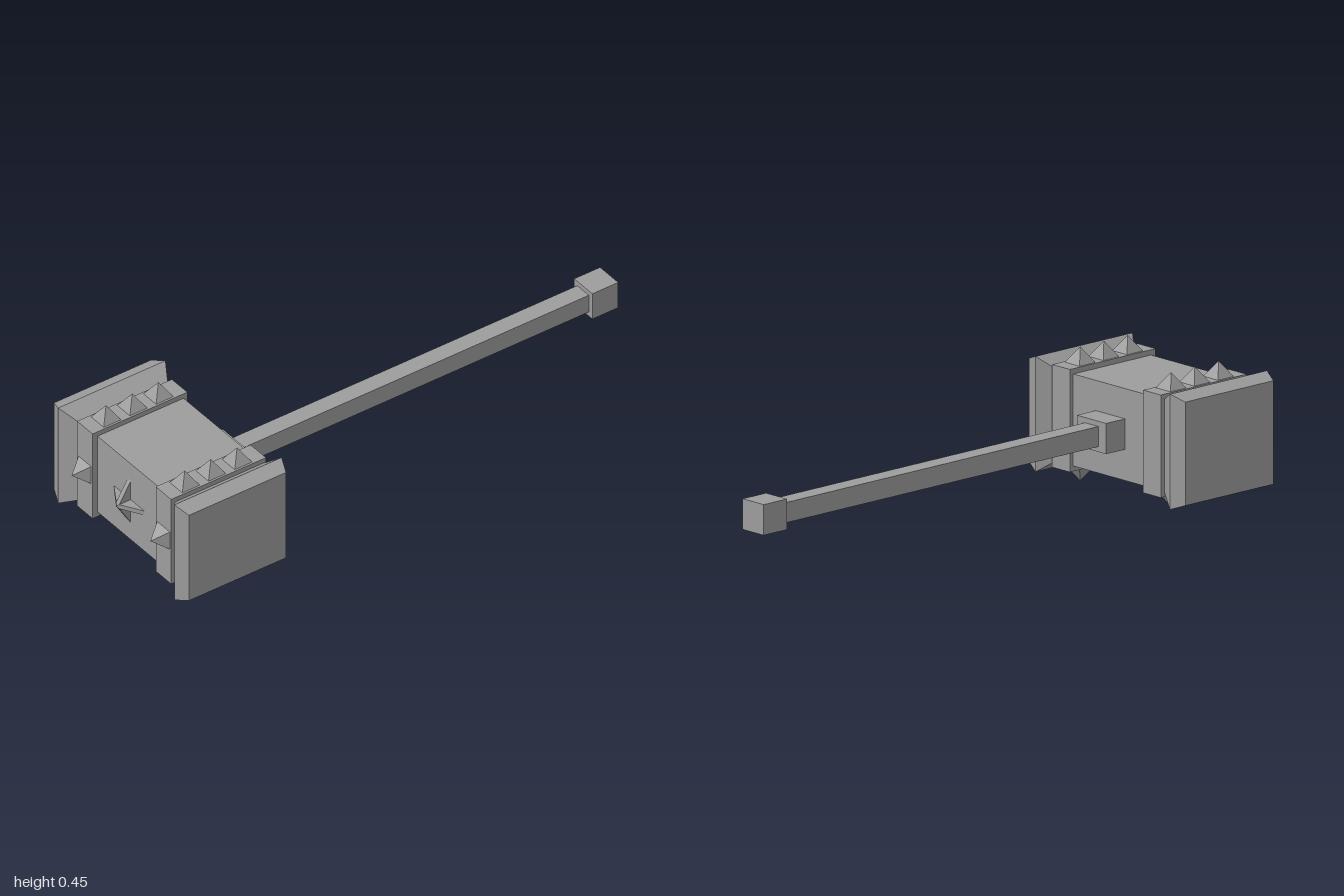
import * as THREE from 'three';

const X = 0.009, Y = 0.2255, Z = 0.757; // centre of the hammer head

export function createModel() {
  const hammer = new THREE.Group();
  hammer.name = 'warHammer';
  const material = new THREE.MeshStandardMaterial({ color: 0x9d9d9d, flatShading: true });

  const add = (name, geometry, x, y, z) => {
    const mesh = new THREE.Mesh(geometry, material);
    mesh.name = name;
    mesh.position.set(x, y, z);
    hammer.add(mesh);
    return mesh;
  };
  const box = (name, w, h, d, x, y, z) => add(name, new THREE.BoxGeometry(w, h, d), x, y, z);

  // Square pyramid standing on its base
  const spikeGeometry = (halfWidth, height) => new THREE.ConeGeometry(halfWidth * Math.SQRT2, height, 4)
    .rotateY(Math.PI / 4).translate(0, height / 2, 0);

  // Handle
  box('handle', 0.064, 0.068, 1.46, 0.005, 0.227, -0.2);
  box('pommel', 0.1, 0.103, 0.104, 0.006, 0.227, -0.948);
  box('collar', 0.14, 0.103, 0.1, 0.006, 0.227, 0.548);

  // Head core
  box('headCore', 0.5, 0.309, 0.345, X, Y, 0.7545);

  // Striking face: a box with three cross-sections along x, widest in the middle
  const sections = [
    { x: 0.26, h: 0.1545, d: 0.174 },
    { x: 0.32, h: 0.194, d: 0.215 },
    { x: 0.372, h: 0.174, d: 0.195 },
  ];
  const capGeometry = (side) => {
    const geometry = new THREE.BoxGeometry(2, 2, 2, 2, 1, 1);
    const p = geometry.attributes.position;
    for (let i = 0; i < p.count; i++) {
      const s = sections[Math.round(p.getX(i) * side) + 1];
      // the inner rim meets the outer edge of the band
      const x = s === sections[0] ? X + side * 0.258 : side * s.x;
      p.setXYZ(i, x, p.getY(i) * s.h, p.getZ(i) * s.d);
    }
    geometry.computeVertexNormals();
    return geometry;
  };

  for (const side of [-1, 1]) {
    const label = side > 0 ? 'left' : 'right';
    const bandX = X + side * 0.2165;
    add(label + 'StrikingFace', capGeometry(side), 0, Y, Z);
    box(label + 'Band', 0.085, 0.345, 0.38, bandX, Y, Z);

    // Three spikes above and below, one in front
    for (const dz of [-0.105, 0, 0.105]) {
      add(label + 'TopSpike', spikeGeometry(0.035, 0.053), bandX, 0.398, Z + dz);
      add(label + 'BottomSpike', spikeGeometry(0.035, 0.053), bandX, 0.053, Z + dz).rotation.x = Math.PI;
    }
    add(label + 'FrontSpike', spikeGeometry(0.035, 0.053), bandX, Y, 0.947).rotation.x = Math.PI / 2;
  }

  // Front ornament: two crossed blades rising to a small pyramid tip
  const blade = new THREE.Shape([
    new THREE.Vector2(-0.086, 0), new THREE.Vector2(0.086, 0),
    new THREE.Vector2(0.0085, 0.047), new THREE.Vector2(-0.0085, 0.047),
  ]);
  const bladeGeometry = new THREE.ExtrudeGeometry(blade, { depth: 0.017, bevelEnabled: false })
    .translate(0, 0, -0.0085).rotateX(Math.PI / 2);
  add('horizontalBlade', bladeGeometry, X, Y, 0.926);
  add('verticalBlade', bladeGeometry, X, Y, 0.926).rotation.z = Math.PI / 2;
  add('ornamentTip', spikeGeometry(0.0085, 0.005), X, Y, 0.973).rotation.x = Math.PI / 2;

  return hammer;
}
